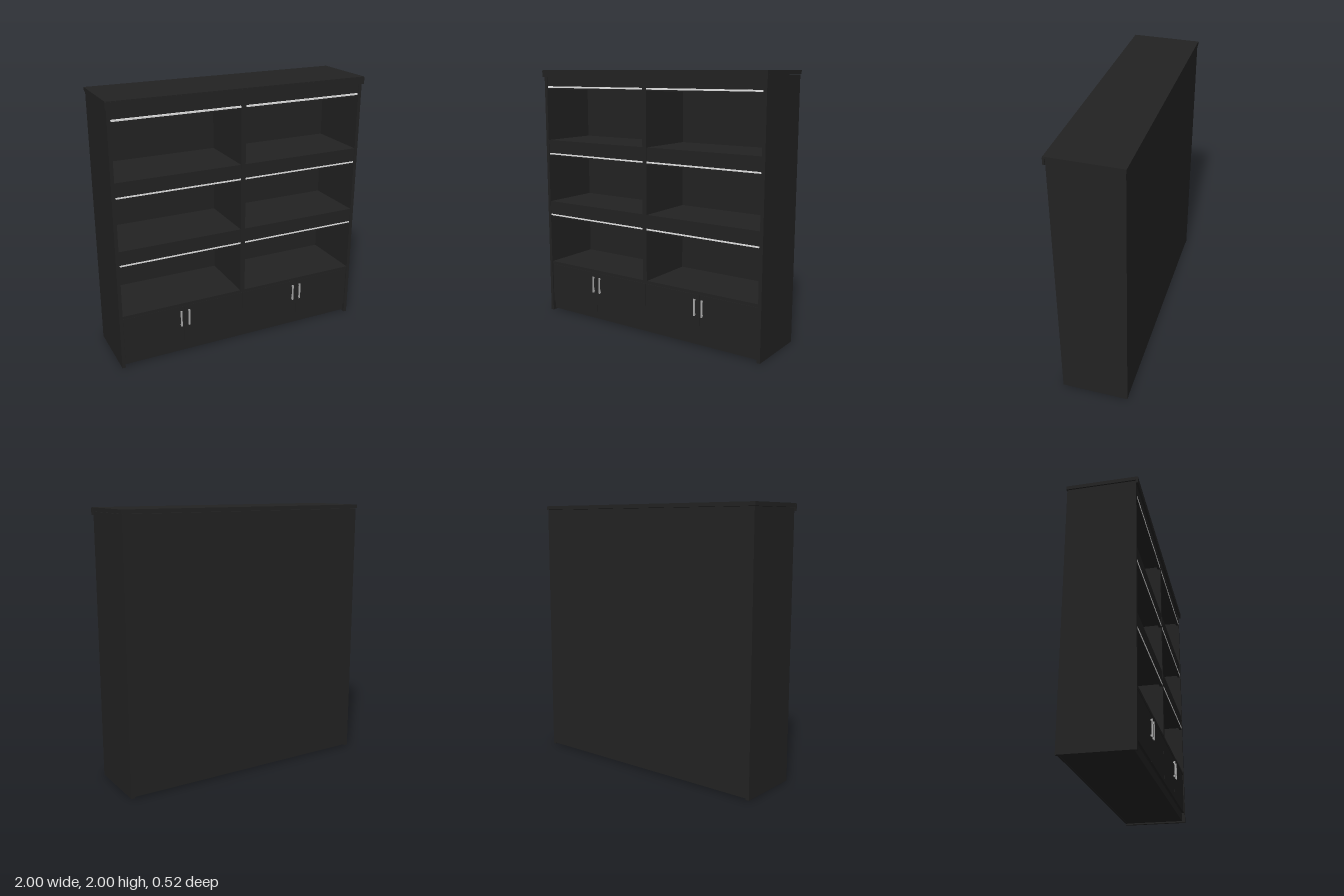
import * as THREE from 'three';

export function createModel() {
  const root = new THREE.Group();
  root.name = 'bookcase';
  const mat = (name, color) => {
    const m = new THREE.MeshStandardMaterial({ color });
    m.name = name;
    return m;
  };
  const black = mat('black wood', 0x222222);
  const white = mat('light strip white', 0xe4e4e4);
  const steel = mat('brushed steel', 0xa8a8a8);

  // Box given by its extents on each axis
  const box = (name, m, x0, x1, y0, y1, z0, z1, parent = root) => {
    const mesh = new THREE.Mesh(new THREE.BoxGeometry(x1 - x0, y1 - y0, z1 - z0), m);
    mesh.position.set((x0 + x1) / 2, (y0 + y1) / 2, (z0 + z1) / 2);
    mesh.name = name;
    parent.add(mesh);
    return mesh;
  };

  // Carcass
  box('backPanel', black, -0.965, 0.965, 0.01, 1.97, -0.255, -0.24);
  box('bottomBoard', black, -0.965, 0.965, 0.012, 0.075, -0.24, 0.222);
  box('topBoard', black, -0.965, 0.965, 1.875, 1.97, -0.24, 0.24);
  box('cabinetTop', black, -0.965, 0.965, 0.402, 0.425, -0.24, 0.243);
  box('divider', black, -0.018, 0.018, 0.425, 1.875, -0.24, 0.245);
  for (const s of [-1, 1]) {
    const a = s * 0.965, b = s * 0.99;
    box('sidePanel', black, Math.min(a, b), Math.max(a, b), 0, 1.97, -0.255, 0.247);
  }

  // Top slab with a deeper lip along the front
  box('topSlab', black, -0.997, 0.997, 1.972, 2, -0.26, 0.26);
  box('frontCornice', black, -1, 1, 1.945, 1.994, 0.247, 0.262);

  // Thick shelves
  for (const top of [0.937, 1.442]) {
    box('shelf', black, -0.965, 0.965, top - 0.106, top, -0.24, 0.243);
  }

  // Light strips under each shelf front, one per bay
  for (const y of [0.825, 1.331, 1.866]) {
    for (const s of [-1, 1]) {
      const a = s * 0.018, b = s * 0.96;
      const x0 = Math.min(a, b), x1 = Math.max(a, b);
      box('lightStrip', white, x0, x1, y - 0.005, y + 0.007, 0.225, 0.245);
      box('stripHolder', black, x0, x1, y - 0.014, y - 0.005, 0.222, 0.242);
    }
  }

  // Four cabinet doors separated by narrow gaps, with a backing board
  box('doorBacking', black, -0.965, 0.965, 0.075, 0.402, 0.2, 0.225);
  const edges = [-0.963, -0.487, 0, 0.487, 0.963];
  for (let i = 0; i < 4; i++) {
    box('door', black, edges[i] + 0.0015, edges[i + 1] - 0.0015, 0.078, 0.399, 0.225, 0.24);
  }

  // Bar handles on short posts
  for (const x of [-0.513, -0.45, 0.45, 0.513]) {
    const handle = new THREE.Group();
    handle.name = 'handle';
    root.add(handle);
    box('handleBar', steel, x - 0.006, x + 0.006, 0.238, 0.367, 0.248, 0.256, handle);
    for (const y of [0.244, 0.353]) {
      box('handlePost', steel, x - 0.005, x + 0.005, y, y + 0.01, 0.239, 0.249, handle);
    }
  }
  return root;
}
